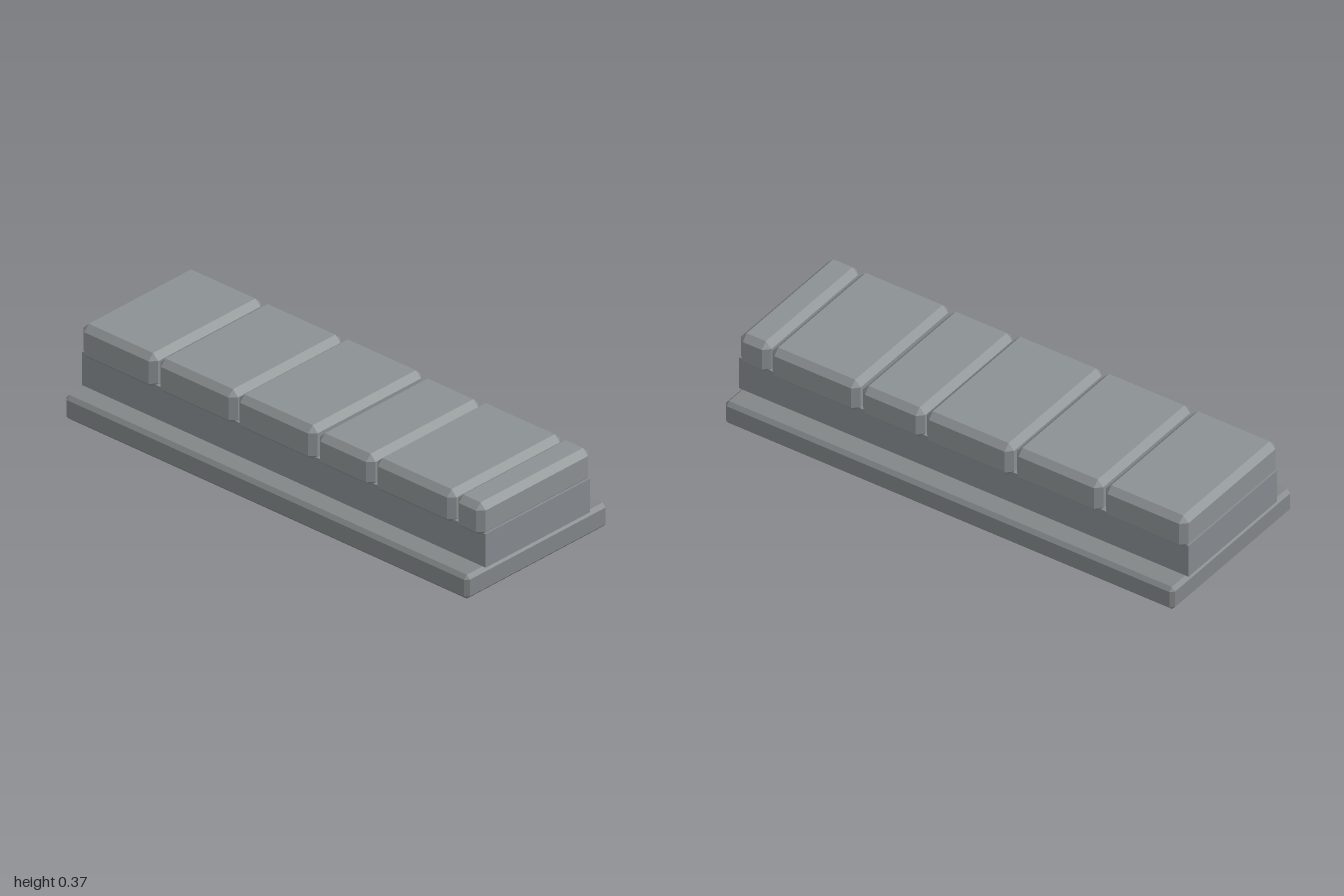
import * as THREE from 'three';
import { ConvexGeometry } from 'three/addons/geometries/ConvexGeometry.js';

const stone = (color) => new THREE.MeshStandardMaterial({ color, flatShading: true });
const slabStone = stone(0x818587);
const coreStone = stone(0x858a8f);
const capStone = stone(0x8b9092);

// Box with every edge and corner cut off by c, given by its bounds
function chamferedBox(name, material, [x0, x1], [y0, y1], [z0, z1], c) {
  const half = [(x1 - x0) / 2, (y1 - y0) / 2, (z1 - z0) / 2];
  const points = [];
  for (const sx of [-1, 1]) for (const sy of [-1, 1]) for (const sz of [-1, 1]) {
    for (let axis = 0; axis < 3; axis++) {
      const p = half.map((h, i) => (i === axis ? h : h - c));
      points.push(new THREE.Vector3(sx * p[0], sy * p[1], sz * p[2]));
    }
  }
  const mesh = new THREE.Mesh(new ConvexGeometry(points), material);
  mesh.position.set((x0 + x1) / 2, (y0 + y1) / 2, (z0 + z1) / 2);
  mesh.name = name;
  return mesh;
}

export function createModel() {
  const model = new THREE.Group();
  model.name = 'stoneWall';

  // Wide bottom slab
  model.add(chamferedBox('baseSlab', slabStone, [-1, 1], [0, 0.1], [-0.38, 0.38], 0.015));

  // Plain core of the wall
  const core = new THREE.Mesh(new THREE.BoxGeometry(2, 0.14, 0.56), coreStone);
  core.position.y = 0.17;
  core.name = 'wallCore';
  model.add(core);

  // Row of cap stones of uneven length: left end, right end, top, back
  const stones = [
    [-0.997, -0.628, 0.365, -0.3],
    [-0.617, -0.232, 0.365, -0.3],
    [-0.224, 0.163, 0.365, -0.305],
    [0.174, 0.45, 0.355, -0.302],
    [0.459, 0.851, 0.36, -0.305],
    [0.86, 0.995, 0.36, -0.3],
  ];
  stones.forEach(([x0, x1, top, back], i) => {
    model.add(chamferedBox(`capStone${i + 1}`, capStone, [x0, x1], [0.221, top], [back, 0.3], 0.025));
  });

  return model;
}
